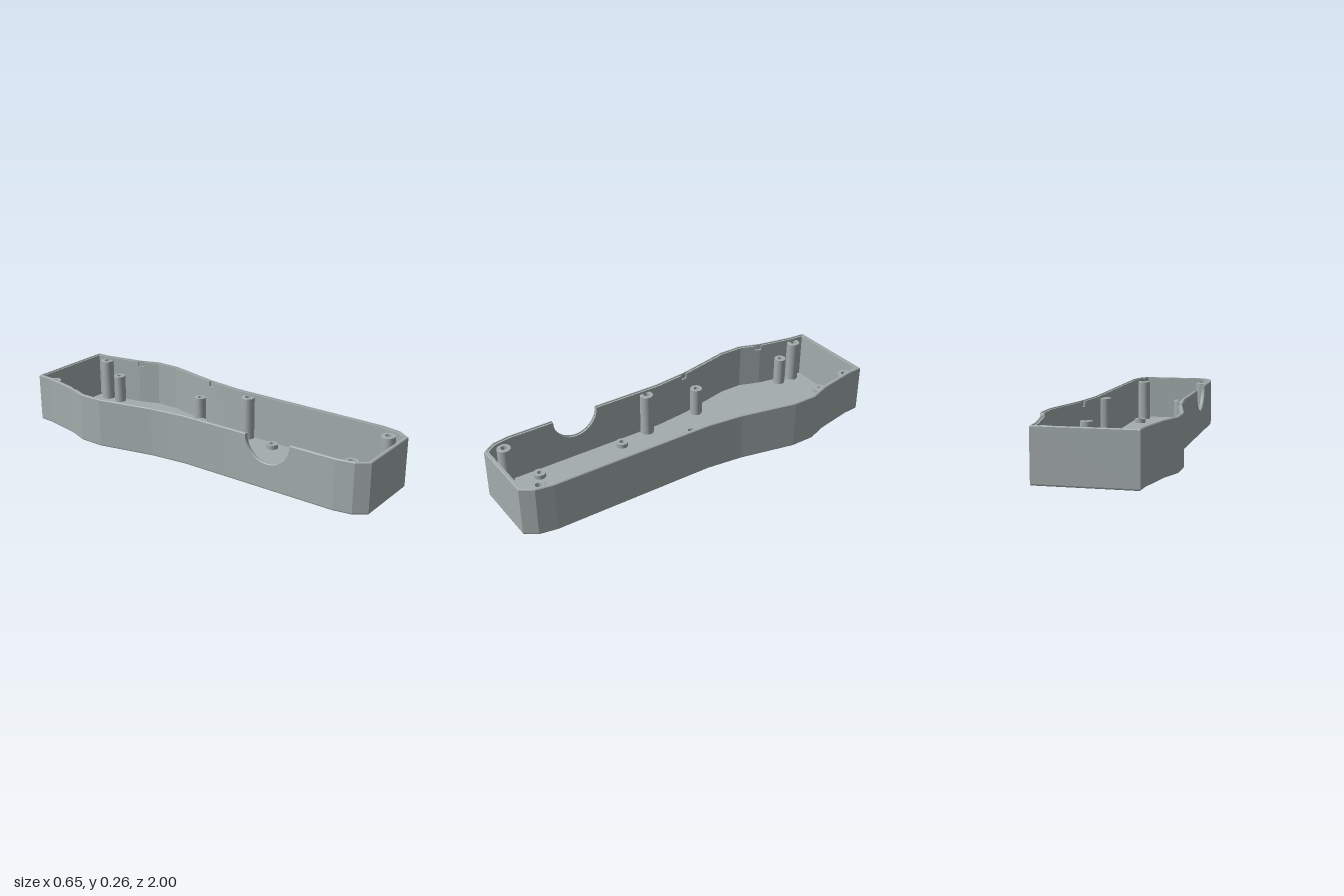
import * as THREE from 'three';
import { toCreasedNormals } from 'three/addons/utils/BufferGeometryUtils.js';

const TOP = 0.257, FLOOR = 0.015, WALL = 0.02;
const CABLE = { z: 0.49, r: 0.123 };      // half-round cut in one side wall
const CLIPS = [-0.71, -0.18];             // small slots inside the rim

// Half-width of the case along z
const OUTLINE = [[0.238, -1], [0.243, -0.92], [0.283, -0.72], [0.323, -0.61], [0.323, -0.48],
  [0.26, -0.19], [0.238, 0], [0.238, 0.85], [0.222, 0.94], [0.178, 1]];

function halfWidth(z) {
  let i = 0;
  while (i < OUTLINE.length - 2 && z > OUTLINE[i + 1][1]) i++;
  const [x0, z0] = OUTLINE[i], [x1, z1] = OUTLINE[i + 1];
  return x0 + (x1 - x0) * (z - z0) / (z1 - z0);
}

// Stations around the case, with extra ones at the cut and the slots
function makeRing() {
  const zs = OUTLINE.map(p => p[1]);
  for (const c of CLIPS) zs.push(c - 0.0165, c - 0.015, c + 0.015, c + 0.0165);
  for (let k = 0; k <= 24; k++) zs.push(CABLE.z + CABLE.r * Math.cos(Math.PI * k / 24));
  zs.sort((a, b) => a - b);
  const side = zs.map(z => new THREE.Vector2(halfWidth(z), z));
  return [...side, ...side.map(p => new THREE.Vector2(-p.x, p.y)).reverse()];
}

// Move every station inwards by d, keeping the wall thickness even
function inset(ring, d) {
  const n = ring.length;
  return ring.map((p, i) => {
    const a = p.clone().sub(ring[(i + n - 1) % n]).normalize();
    const b = ring[(i + 1) % n].clone().sub(p).normalize();
    const na = new THREE.Vector2(-a.y, a.x), nb = new THREE.Vector2(-b.y, b.x);
    const m = na.clone().add(nb);
    return p.clone().addScaledVector(m, d / (1 + na.dot(nb)));
  });
}

function rimHeight(p) {
  const dz = p.y - CABLE.z;
  if (p.x > 0 || Math.abs(dz) >= CABLE.r) return TOP;
  return TOP - Math.sqrt(CABLE.r ** 2 - dz ** 2);
}

function innerRimHeight(p) {
  const slot = CLIPS.some(c => Math.abs(p.y - c) < 0.0157);
  return rimHeight(p) - (slot ? 0.03 : 0.004);
}

// Wall: a profile swept round the stations, from the bottom edge over the rim to the floor
function wallGeometry(ring) {
  const profile = [
    [0.008, () => 0], [0.0023, () => 0.0023], [0, () => 0.008],
    [0, p => rimHeight(p) - 0.004], [0.004, rimHeight], [0.01, rimHeight],
    [0.01, innerRimHeight], [WALL, innerRimHeight], [WALL, () => FLOOR - 0.002],
  ];
  const n = ring.length, pos = [], index = [];
  for (const [d, height] of profile) {
    inset(ring, d).forEach((q, i) => pos.push(q.x, height(ring[i]), q.y));
  }
  for (let j = 0; j < profile.length - 1; j++) {
    for (let i = 0; i < n; i++) {
      const k = (i + 1) % n;
      const a = j * n + i, b = j * n + k, c = b + n, d = a + n;
      index.push(a, d, c, a, c, b);
    }
  }
  const g = new THREE.BufferGeometry();
  g.setAttribute('position', new THREE.Float32BufferAttribute(pos, 3));
  g.setIndex(index);
  return toCreasedNormals(g, 0.12);
}

// Floor plate with screw holes
function floorGeometry(ring, holes) {
  const shape = new THREE.Shape(inset(ring, 0.008).map(p => new THREE.Vector2(p.x, -p.y)));
  for (const [x, z, r] of holes) {
    shape.holes.push(new THREE.Path().absarc(x, -z, r, 0, Math.PI * 2, true));
  }
  const g = new THREE.ExtrudeGeometry(shape, { depth: FLOOR, bevelEnabled: false, curveSegments: 24 });
  return g.rotateX(-Math.PI / 2);
}

function lathe(points) {
  const g = new THREE.LatheGeometry(points.map(p => new THREE.Vector2(...p)), 24);
  return toCreasedNormals(g, 0.5);
}

// Post open from below, with a wider seat for the screw head
const throughPost = (r, hole, top, seat, seatTop) => lathe([[r, FLOOR - 0.002], [r, top - 0.002],
  [r - 0.002, top], [hole, top], [hole, seatTop], [seat, seatTop], [seat, 0]]);

// Post with a closed hole
const blindPost = (r, hole, top) => lathe([[r, FLOOR - 0.002], [r, top],
  [hole, top], [hole, FLOOR + 0.004], [0, FLOOR + 0.004]]);

export function createModel() {
  const grey = new THREE.MeshStandardMaterial({ color: 0xa3acac });
  grey.name = 'grey plastic';
  const group = new THREE.Group();
  group.name = 'caseShell';

  const add = (name, geometry, x = 0, z = 0) => {
    const mesh = new THREE.Mesh(geometry, grey);
    mesh.name = name;
    mesh.position.set(x, 0, z);
    group.add(mesh);
  };

  const mirrored = list => list.flatMap(([x, z]) => [[x, z], [-x, z]]);
  const screwSpots = mirrored([[0.21, -0.91], [0.202, 0.08], [0.177, 0.9]]);
  const boardSpots = mirrored([[0.21, -0.82], [0.21, -0.24]]);
  const lowSpots = mirrored([[0.163, 0.26], [0.163, 0.735]]);
  const pinSpots = [[0, -0.94], [0, -0.235]];

  const ring = makeRing();
  add('wall', wallGeometry(ring));
  add('floor', floorGeometry(ring, [
    ...screwSpots.map(([x, z]) => [x, z, 0.027]),
    ...pinSpots.map(([x, z]) => [x, z, 0.008]),
  ]));

  const screwPost = throughPost(0.035, 0.016, 0.24, 0.027, 0.05);
  const boardPost = blindPost(0.032, 0.013, 0.165);
  const lowBoss = blindPost(0.031, 0.013, 0.038);
  const pinBoss = throughPost(0.034, 0.008, 0.038, 0.0081, 0.02);
  screwSpots.forEach(([x, z]) => add('screwPost', screwPost, x, z));
  boardSpots.forEach(([x, z]) => add('boardPost', boardPost, x, z));
  lowSpots.forEach(([x, z]) => add('lowBoss', lowBoss, x, z));
  pinSpots.forEach(([x, z]) => add('pinBoss', pinBoss, x, z));
  return group;
}
